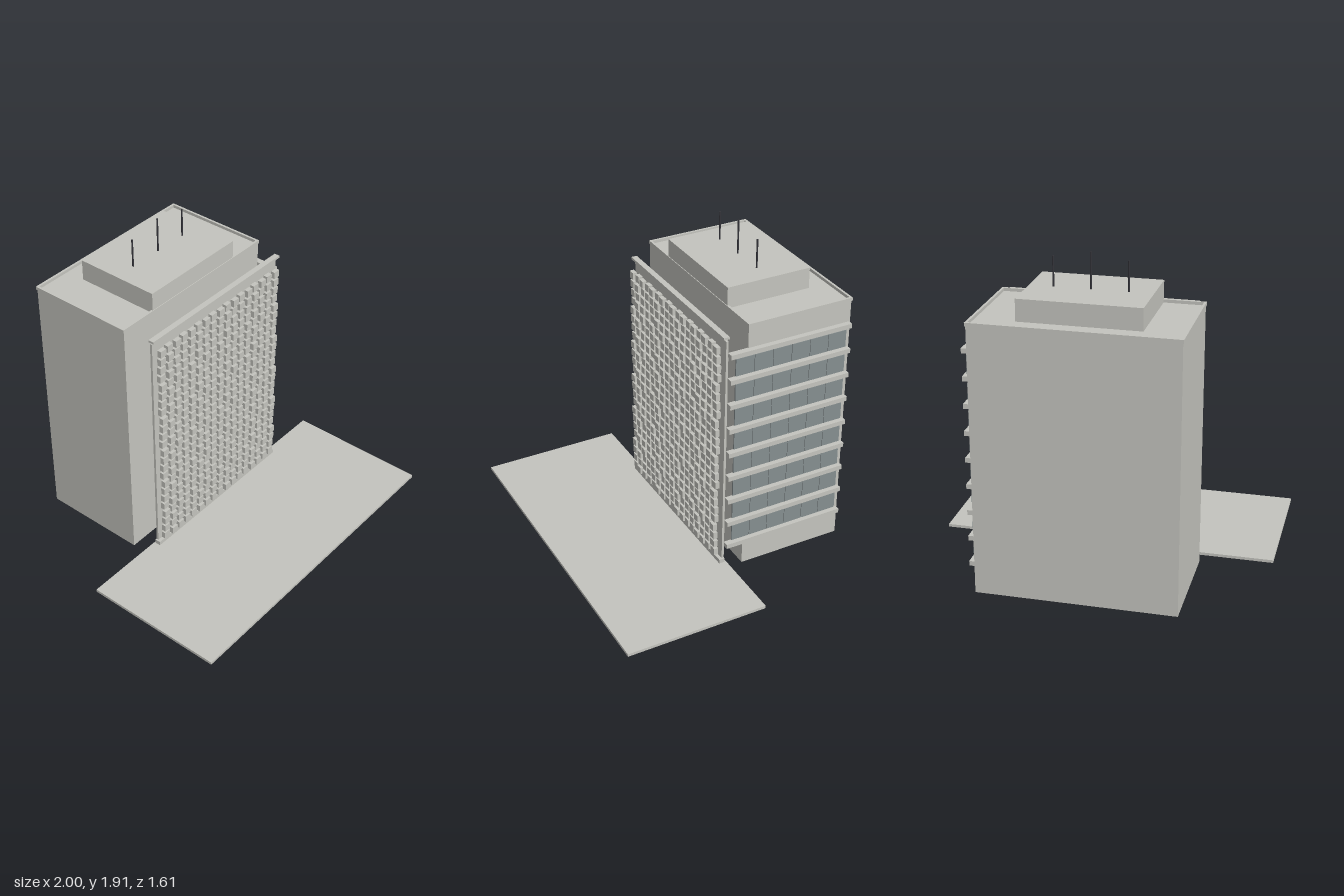
import * as THREE from 'three';
import { mergeGeometries } from 'three/addons/utils/BufferGeometryUtils.js';

// Box geometry given by its extents on each axis
function span(x0, x1, y0, y1, z0, z1) {
  return new THREE.BoxGeometry(x1 - x0, y1 - y0, z1 - z0)
    .translate((x0 + x1) / 2, (y0 + y1) / 2, (z0 + z1) / 2);
}

export function createModel() {
  const model = new THREE.Group();
  model.name = 'officeTower';

  const material = (name, color) => {
    const m = new THREE.MeshStandardMaterial({ color });
    m.name = name;
    return m;
  };
  const concrete = material('concrete', 0xc4c4be);
  const glass = material('glass', 0x868f90);
  const darkMetal = material('darkMetal', 0x34343a);

  const add = (name, mat, ...geometries) => {
    const mesh = new THREE.Mesh(mergeGeometries(geometries), mat);
    mesh.name = name;
    model.add(mesh);
  };

  // Forecourt slab and main block
  add('forecourt', concrete, span(-1, 1, 0, 0.017, -0.062, 0.8));
  add('tower', concrete, span(-0.578, 0.578, 0, 1.574, -0.8, -0.15));

  // Raised rim around the flat roof
  const rim = 0.014;
  add('roofRim', concrete,
    span(-0.583, 0.583, 1.572, 1.592, -0.805, -0.805 + rim),
    span(-0.583, 0.583, 1.572, 1.592, -0.147 - rim, -0.147),
    span(-0.583, -0.583 + rim, 1.572, 1.592, -0.805 + rim, -0.147 - rim),
    span(0.583 - rim, 0.583, 1.572, 1.592, -0.805 + rim, -0.147 - rim));

  // Plant room with three masts
  add('plantRoom', concrete, span(-0.345, 0.345, 1.574, 1.7, -0.672, -0.151));
  for (const [x, top] of [[-0.208, 1.872], [0, 1.908], [0.208, 1.872]]) {
    const height = top - 1.69;
    add('mast', darkMetal, new THREE.CylinderGeometry(0.005, 0.005, height, 10)
      .translate(x, 1.69 + height / 2, -0.412));
  }

  // Free-standing facade screen with rails above and below
  add('screen', concrete, span(-0.507, 0.575, 0.062, 1.516, -0.03, -0.016));
  add('screenTopRail', concrete, span(-0.517, 0.584, 1.533, 1.547, -0.031, 0.004));
  add('screenBottomRail', concrete, span(-0.517, 0.584, 0.05, 0.076, -0.031, 0.004));

  // Grid of small blocks, staggered slightly in depth
  const blocks = [];
  for (let row = 0; row < 24; row++) {
    for (let col = 0; col < 17; col++) {
      const x = -0.466 + col * 0.0622;
      const y = 0.115 + row * 0.0583;
      const shift = ((row * 5 + col * 3 + row * col) % 4) * 0.003;
      blocks.push(span(x - 0.0215, x + 0.0215, y - 0.0215, y + 0.0215, -0.005 + shift, 0.021 + shift));
    }
  }
  add('screenBlocks', concrete, ...blocks);

  // Side ledges that tie the tower to the screen
  const pitch = 0.157;
  for (let i = 0; i < 9; i++) {
    const y = 0.175 + i * pitch;
    add('sideLedge', concrete, span(0.573, 0.61, y - 0.014, y + 0.014, -0.794, -0.029));
  }

  // Bands of window panes between the ledges
  const paneWidth = (0.775 - 0.07) / 6;
  for (let i = 0; i < 8; i++) {
    const y = 0.249 + i * pitch;
    const panes = [];
    for (let p = 0; p < 6; p++) {
      const z = -0.775 + p * paneWidth;
      panes.push(span(0.58, 0.589, y - 0.053, y + 0.053, z + 0.0015, z + paneWidth - 0.0015));
    }
    add('windowBand', glass, ...panes);
  }

  return model;
}
